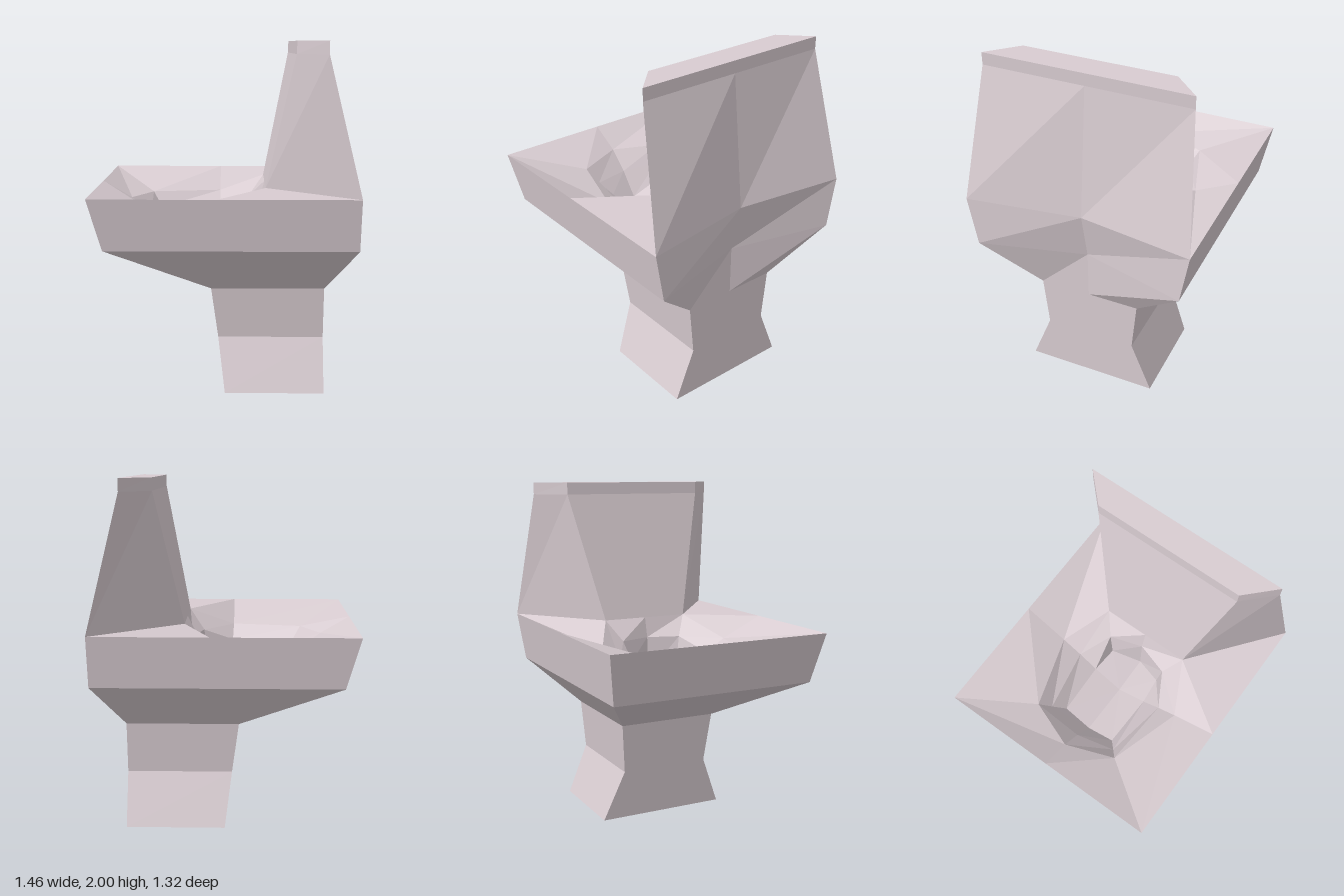
import * as THREE from 'three';

const material = new THREE.MeshStandardMaterial({ color: 0xd8ccd1, flatShading: true });

// Full loop from its +z half, listed from the -x centre point to the +x centre point.
function mirrorRing(half) {
  const back = half.slice(1, -1).reverse().map(([x, y, z]) => [x, y, -z]);
  return [...half, ...back];
}

// Joins rings of equal length; optional fan caps close the first and last ring.
function loft(name, rings, { startCap = null, endCap = null } = {}) {
  const out = [];
  const n = rings[0].length;
  for (let r = 0; r < rings.length - 1; r++) {
    for (let i = 0; i < n; i++) {
      const j = (i + 1) % n;
      const a = rings[r][i], b = rings[r][j], c = rings[r + 1][j], d = rings[r + 1][i];
      out.push(...a, ...b, ...c, ...a, ...c, ...d);
    }
  }
  const last = rings[rings.length - 1];
  for (let i = 0; i < n; i++) {
    const j = (i + 1) % n;
    if (startCap) out.push(...startCap, ...rings[0][j], ...rings[0][i]);
    if (endCap) out.push(...endCap, ...last[i], ...last[j]);
  }
  const geometry = new THREE.BufferGeometry();
  geometry.setAttribute('position', new THREE.Float32BufferAttribute(out, 3));
  geometry.computeVertexNormals();
  const mesh = new THREE.Mesh(geometry, material);
  mesh.name = name;
  return mesh;
}

export function createModel() {
  const model = new THREE.Group();
  model.name = 'toilet';

  // Pedestal and outer bowl: [height, front x, back x, half width, back centre x]
  const levels = [
    [0, 0, 0.57, 0.39, 0.57],
    [0.3, -0.04, 0.57, 0.27, 0.57],
    [0.6, -0.08, 0.57, 0.3, 0.57],
    [0.89, -0.655, 0.727, 0.61, 0.57],
    [1.18, -0.73, 0.727, 0.66, 0.63],
  ];
  const bodyRings = levels.map(([y, front, back, w, mid]) =>
    mirrorRing([[front, y, 0], [front, y, w], [back, y, w], [mid, y, 0]]));
  model.add(loft('pedestalAndBowlShell', bodyRings, { startCap: [0.285, 0, 0] }));

  // Sloping rim running down into the faceted basin
  const basinRings = [
    [[-0.73, 1.18, 0], [-0.73, 1.18, 0.66], [-0.04, 1.18, 0.66], [0.727, 1.18, 0.66], [0.63, 1.18, 0]],
    [[-0.56, 1.08, 0], [-0.455, 1.07, 0.275], [-0.04, 1.06, 0.405], [0.23, 1.18, 0.265], [0.23, 1.18, 0]],
    [[-0.45, 0.97, 0], [-0.4, 0.98, 0.225], [-0.035, 0.98, 0.29], [0.14, 1.06, 0.19], [0.2, 1.06, 0]],
    [[-0.345, 0.83, 0], [-0.34, 0.89, 0.17], [-0.03, 0.89, 0.18], [0.125, 0.9, 0.165], [0.19, 0.83, 0]],
  ].map(mirrorRing);
  model.add(loft('rimAndBasin', basinRings, { endCap: [-0.03, 0.81, 0] }));

  // Tapered tank, narrower toward the basin
  const tankRings = [
    [[0.23, 1.18, 0], [0.23, 1.18, 0.265], [0.727, 1.18, 0.66], [0.63, 1.18, 0]],
    [[0.385, 1.93, 0], [0.385, 1.93, 0.435], [0.545, 1.93, 0.59], [0.545, 1.93, 0]],
    [[0.387, 2, 0], [0.387, 2, 0.435], [0.545, 2, 0.59], [0.545, 2, 0]],
  ].map(mirrorRing);
  model.add(loft('tank', tankRings, { endCap: [0.465, 2, 0] }));

  return model;
}
